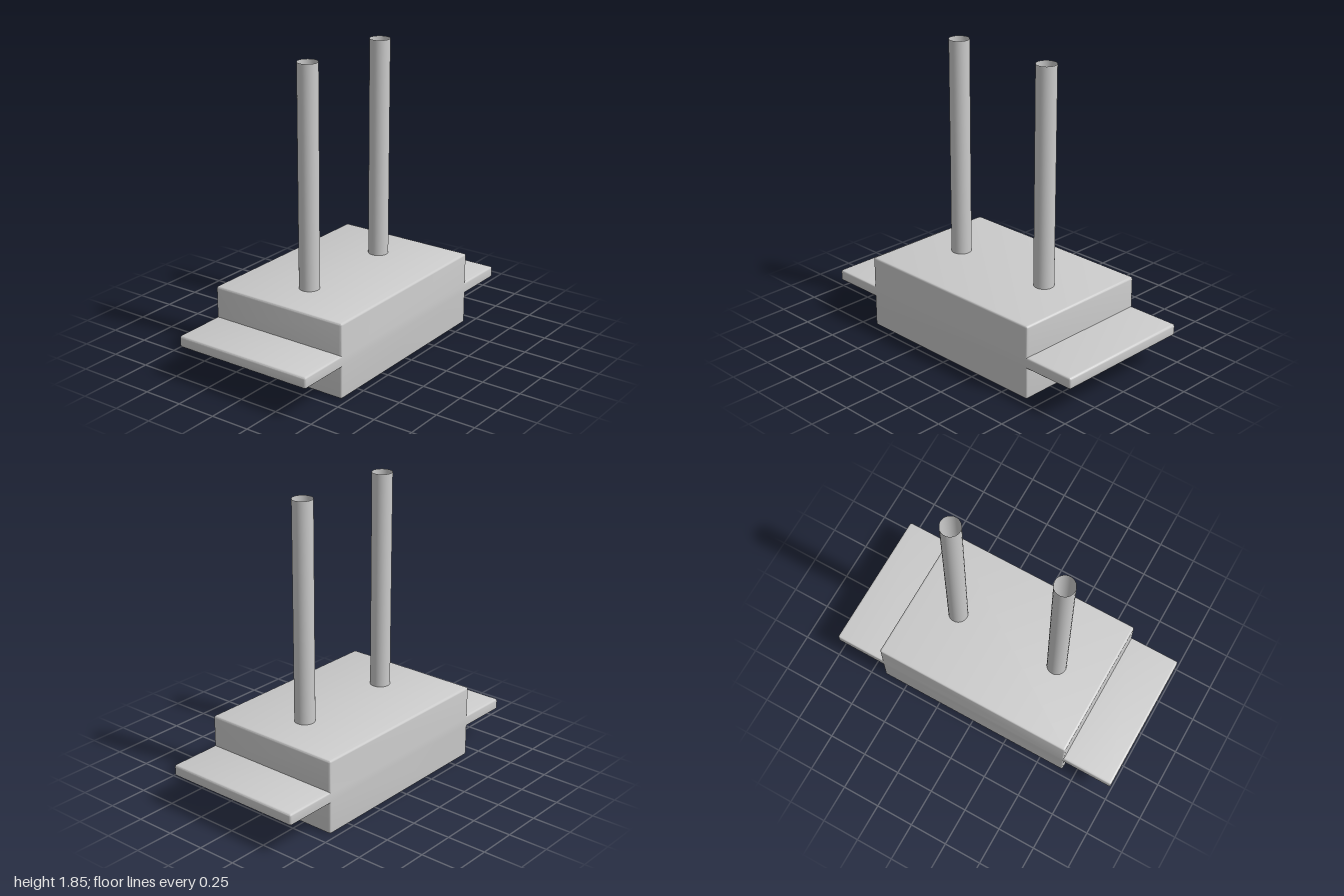
import * as THREE from 'three';
import { toCreasedNormals } from 'three/addons/utils/BufferGeometryUtils.js';

const HALF_WIDTH = 0.463, BEVEL = 0.012;
const HEIGHT = 1.85, BODY_TOP = 0.47;

// Closed outline in (z, y); corners flagged true are slightly rounded
function roundedOutline(corners, radius) {
  const shape = new THREE.Shape();
  const pts = corners.map(([z, y]) => new THREE.Vector2(z, y));
  const towards = (a, b) => a.clone().add(b.clone().sub(a).setLength(radius));
  pts.forEach((p, i) => {
    const prev = pts[(i + pts.length - 1) % pts.length];
    const next = pts[(i + 1) % pts.length];
    const rounded = corners[i][2];
    const start = rounded ? towards(p, prev) : p;
    if (i === 0) shape.moveTo(start.x, start.y);
    else shape.lineTo(start.x, start.y);
    if (rounded) {
      const end = towards(p, next);
      shape.quadraticCurveTo(p.x, p.y, end.x, end.y);
    }
  });
  shape.closePath();
  return shape;
}

export function createModel() {
  const group = new THREE.Group();
  const grey = new THREE.MeshStandardMaterial({ color: 0xcccccc });
  const tubeGrey = new THREE.MeshStandardMaterial({ color: 0xcccccc, side: THREE.DoubleSide });

  // Block with a mounting flange at front and back, extruded across its width
  const outline = roundedOutline([
    [-0.665, 0, true], [0.665, 0, true],
    [0.665, 0.2, false], [1, 0.2, true], [1, 0.272, true], [0.665, 0.272, false],
    [0.665, BODY_TOP, true], [-0.665, BODY_TOP, true],
    [-0.665, 0.272, false], [-1, 0.272, true], [-1, 0.2, true], [-0.665, 0.2, false],
  ], 0.015);
  const depth = 2 * (HALF_WIDTH - BEVEL);
  const bodyGeometry = new THREE.ExtrudeGeometry(outline, {
    depth, curveSegments: 4, bevelEnabled: true, bevelSegments: 3,
    bevelThickness: BEVEL, bevelSize: BEVEL, bevelOffset: -BEVEL,
  });
  bodyGeometry.translate(0, 0, -depth / 2);
  bodyGeometry.rotateY(-Math.PI / 2);
  const body = new THREE.Mesh(toCreasedNormals(bodyGeometry, Math.PI / 5), grey);
  body.name = 'flangedBody';
  group.add(body);

  // Two open upright tubes
  const length = HEIGHT - BODY_TOP;
  const tubeGeometry = new THREE.CylinderGeometry(0.063, 0.063, length, 32, 1, true);
  for (const [name, z] of [['frontTube', 0.355], ['backTube', -0.358]]) {
    const tube = new THREE.Mesh(tubeGeometry, tubeGrey);
    tube.name = name;
    tube.position.set(0, BODY_TOP + length / 2, z);
    group.add(tube);
  }
  return group;
}
